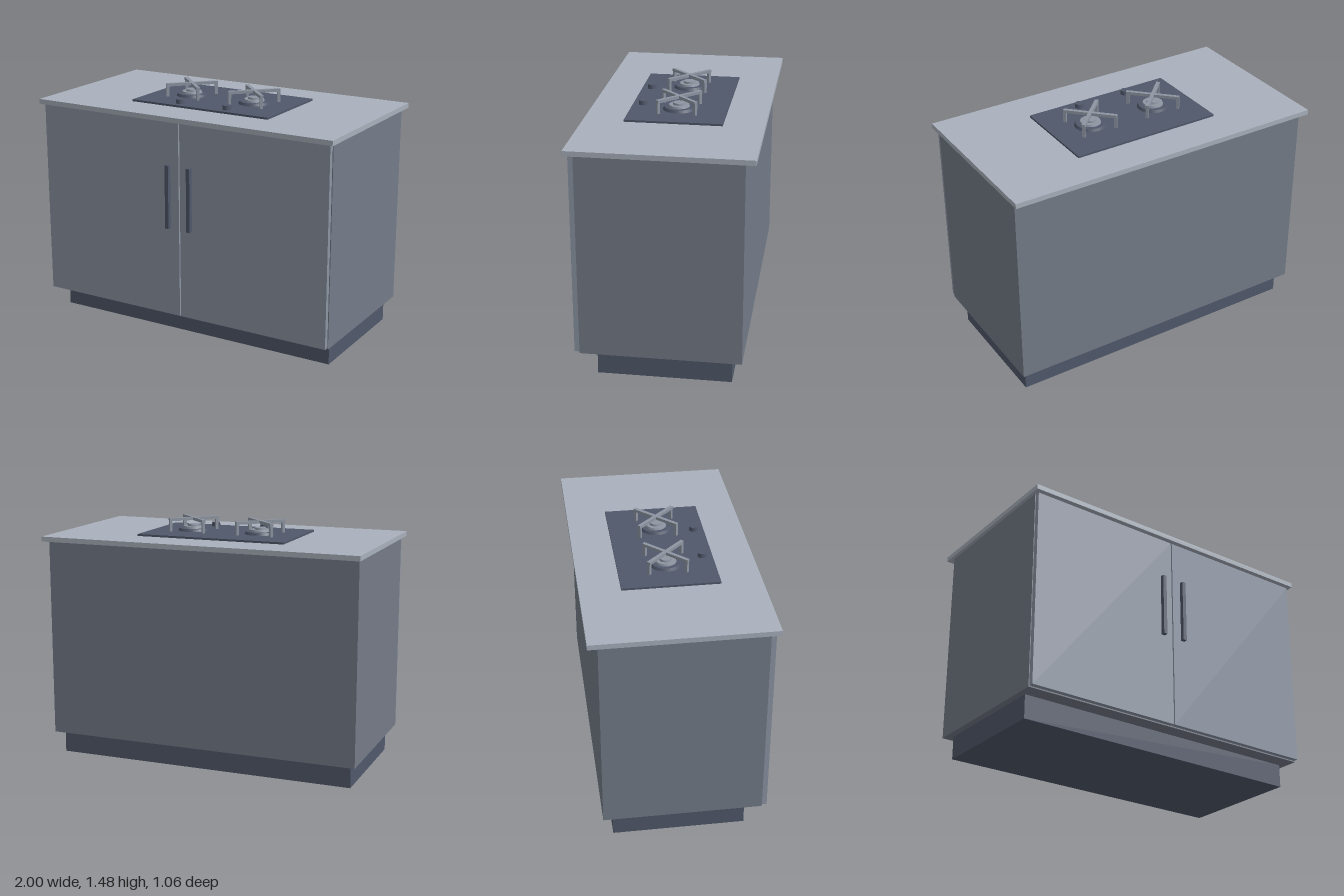
import * as THREE from 'three';

const paint = (color) => new THREE.MeshStandardMaterial({ color });

export function createModel() {
  const model = new THREE.Group();
  const dark = paint(0x50586a), body = paint(0x747b88), door = paint(0x8c95a4);
  const stone = paint(0xa9b1bc), steel = paint(0x8e96a3);

  function add(parent, name, geometry, material, x, y, z) {
    const mesh = new THREE.Mesh(geometry, material);
    mesh.name = name;
    mesh.position.set(x, y, z);
    parent.add(mesh);
    return mesh;
  }

  // Box given by its min and max on each axis
  function box(parent, name, material, [x0, x1], [y0, y1], [z0, z1]) {
    return add(parent, name, new THREE.BoxGeometry(x1 - x0, y1 - y0, z1 - z0), material,
      (x0 + x1) / 2, (y0 + y1) / 2, (z0 + z1) / 2);
  }

  // Upright disc standing on height y
  function disc(parent, name, material, rTop, rBottom, y, height, x = 0, z = 0) {
    return add(parent, name, new THREE.CylinderGeometry(rTop, rBottom, height, 24), material,
      x, y + height / 2, z);
  }

  // Cabinet
  box(model, 'plinth', dark, [-0.94, 0.94], [0, 0.142], [-0.41, 0.375]);
  box(model, 'cabinetBody', body, [-0.98, 0.98], [0.142, 1.36], [-0.47, 0.473]);
  box(model, 'countertop', stone, [-1, 1], [1.36, 1.39], [-0.528, 0.528]);

  // Hob plate
  box(model, 'hobPlate', dark, [-0.47, 0.47], [1.39, 1.402], [-0.287, 0.287]);

  for (const [side, s] of [['right', -1], ['left', 1]]) {
    // Door with its bar handle
    const range = (a, b) => (s > 0 ? [a, b] : [-b, -a]);
    box(model, side + 'Door', door, range(0.004, 0.975), [0.15, 1.355], [0.473, 0.503]);
    box(model, side + 'Handle', dark, range(0.062, 0.086), [0.705, 1.097], [0.503, 0.528]);

    // Burner
    const burner = new THREE.Group();
    burner.name = side + 'Burner';
    burner.position.set(s * 0.22, 1.402, 0);
    model.add(burner);
    disc(burner, 'burnerBase', dark, 0.088, 0.096, 0, 0.016);
    disc(burner, 'burnerRing', steel, 0.06, 0.064, 0.016, 0.012);
    disc(burner, 'burnerCap', steel, 0.035, 0.037, 0.028, 0.012);

    // Crossed pan support with four legs
    for (const angle of [Math.PI / 4, -Math.PI / 4]) {
      const bar = add(burner, 'grateBar', new THREE.BoxGeometry(0.325, 0.018, 0.022), steel, 0, 0.073, 0);
      bar.rotation.y = angle;
      for (const end of [-1, 1]) {
        const leg = add(burner, 'grateLeg', new THREE.BoxGeometry(0.018, 0.082, 0.018), steel,
          end * 0.154 * Math.cos(angle), 0.041, -end * 0.154 * Math.sin(angle));
        leg.rotation.y = angle;
      }
    }

    // Control knob
    disc(model, side + 'Knob', dark, 0.025, 0.027, 1.402, 0.026, s * 0.163, 0.226);
  }
  return model;
}
